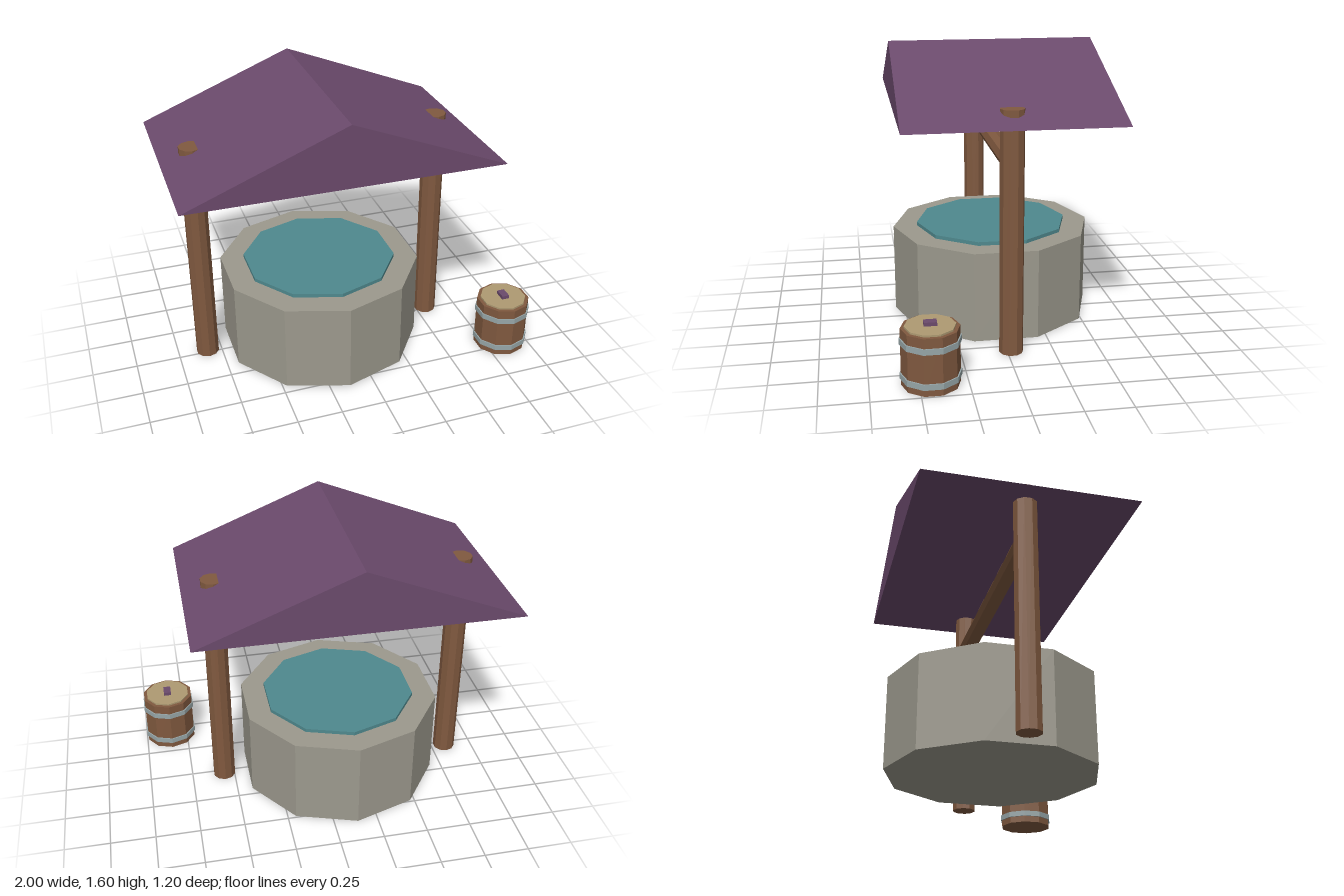
import * as THREE from 'three';

const material = (name, color) => {
  const m = new THREE.MeshStandardMaterial({ color, flatShading: true });
  m.name = name;
  return m;
};

export function createModel() {
  const stone = material('stone', 0x9c998d);
  const water = material('water', 0x4f898e);
  const wood = material('wood', 0x80593f);
  const roofing = material('purple roofing', 0x6b4a6c);
  const lidWood = material('pale wood', 0xae9a72);
  const iron = material('pale iron', 0x97a6a8);

  const model = new THREE.Group();
  model.name = 'well';

  const add = (parent, name, geometry, mat, x, y, z) => {
    const mesh = new THREE.Mesh(geometry, mat);
    mesh.name = name;
    mesh.position.set(x, y, z);
    parent.add(mesh);
    return mesh;
  };
  // Upright ten-sided drum between two heights
  const drum = (parent, name, r, y0, y1, mat, x = 0, z = 0) =>
    add(parent, name, new THREE.CylinderGeometry(r, r, y1 - y0, 10), mat, x, (y0 + y1) / 2, z);

  // Well, water, posts and beam share one centre
  const cx = -0.136, cz = -0.022;
  drum(model, 'stoneBase', 0.577, 0, 0.51, stone, cx, cz);
  drum(model, 'water', 0.44, 0.5, 0.531, water, cx, cz);
  for (const side of [-1, 1]) {
    drum(model, side < 0 ? 'rightPost' : 'leftPost', 0.065, 0, 1.33, wood, cx + side * 0.695, cz);
  }
  const beam = new THREE.CylinderGeometry(0.051, 0.051, 1.39, 8).rotateZ(Math.PI / 2);
  add(model, 'crossBeam', beam, wood, cx, 1.042, cz);

  // Solid gabled roof
  const gable = new THREE.Shape([
    new THREE.Vector2(-0.864, 0),
    new THREE.Vector2(0.864, 0),
    new THREE.Vector2(0, 0.345),
  ]);
  const roof = new THREE.ExtrudeGeometry(gable, { depth: 1.155, bevelEnabled: false });
  add(model, 'roof', roof, roofing, cx, 1.25, -0.6);

  // Barrel with two hoops, a lid and a handle
  const barrel = new THREE.Group();
  barrel.name = 'barrel';
  barrel.position.set(0.848, 0, 0.439);
  drum(barrel, 'barrelBody', 0.151, 0, 0.306, wood);
  drum(barrel, 'lowerHoop', 0.158, 0.036, 0.067, iron);
  drum(barrel, 'upperHoop', 0.158, 0.223, 0.254, iron);
  drum(barrel, 'barrelLid', 0.131, 0.3, 0.316, lidWood);
  add(barrel, 'lidHandle', new THREE.BoxGeometry(0.043, 0.03, 0.067), roofing, 0, 0.321, 0);
  model.add(barrel);

  return model;
}
